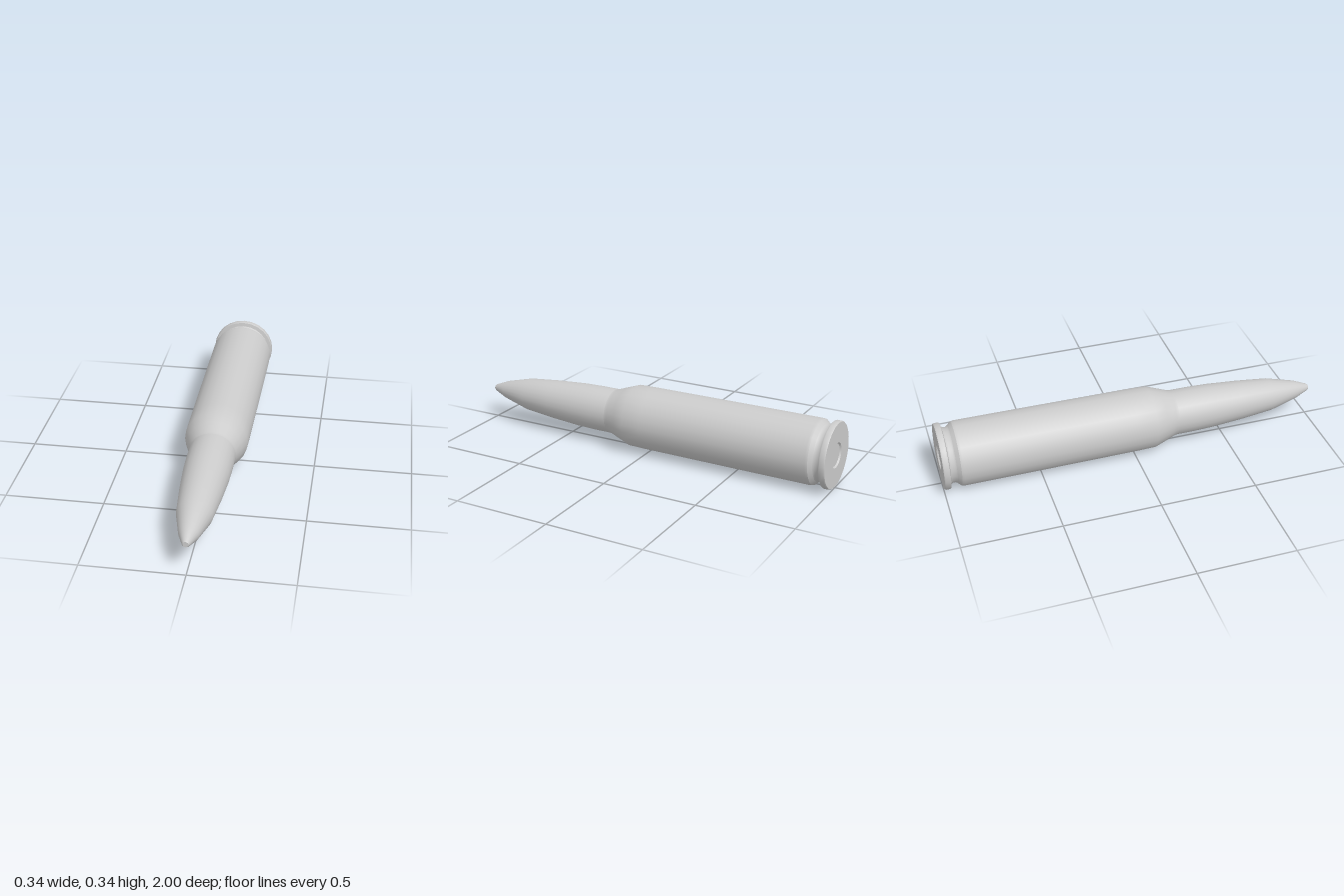
import * as THREE from 'three';

const SIDES = 24;
const AXIS_Y = 0.17;

export function createModel() {
  const group = new THREE.Group();
  const material = new THREE.MeshStandardMaterial({ color: 0xcccccc });

  // Turns a profile of [radius, z] pairs, listed back to front, about the long axis.
  const turned = (name, profile) => {
    const points = profile.map(([r, z]) => new THREE.Vector2(r, z));
    const geometry = new THREE.LatheGeometry(points, SIDES);
    geometry.rotateX(Math.PI / 2);
    const mesh = new THREE.Mesh(geometry, material);
    mesh.name = name;
    mesh.position.y = AXIS_Y;
    group.add(mesh);
  };

  // Base: shallow central cap, flat back face and rim
  turned('primerCap', [[0, -0.992], [0.058, -0.992]]);
  turned('primerEdge', [[0.058, -0.992], [0.064, -1]]);
  turned('baseFace', [[0.064, -1], [0.165, -1]]);
  turned('rim', [[0.165, -1], [0.169, -0.994], [0.169, -0.975], [0.166, -0.969]]);
  turned('rimFront', [[0.166, -0.969], [0.147, -0.965]]);

  // Groove between rim and case
  turned('extractorGroove', [[0.147, -0.965], [0.141, -0.955], [0.141, -0.94], [0.146, -0.932]]);
  turned('grooveBevel', [[0.146, -0.932], [0.163, -0.913]]);

  // Case with its shoulder and neck
  turned('caseBody', [
    [0.163, -0.913], [0.166, -0.9], [0.165, -0.5], [0.163, 0], [0.161, 0.1],
    [0.14, 0.16], [0.12, 0.215], [0.118, 0.23],
  ]);

  // Tapered nose with a small blunt tip
  turned('nose', [
    [0.118, 0.23], [0.118, 0.32], [0.115, 0.43], [0.103, 0.6], [0.086, 0.77],
    [0.048, 0.92], [0.019, 0.993], [0.014, 1],
  ]);
  turned('tip', [[0.014, 1], [0, 1]]);

  return group;
}
